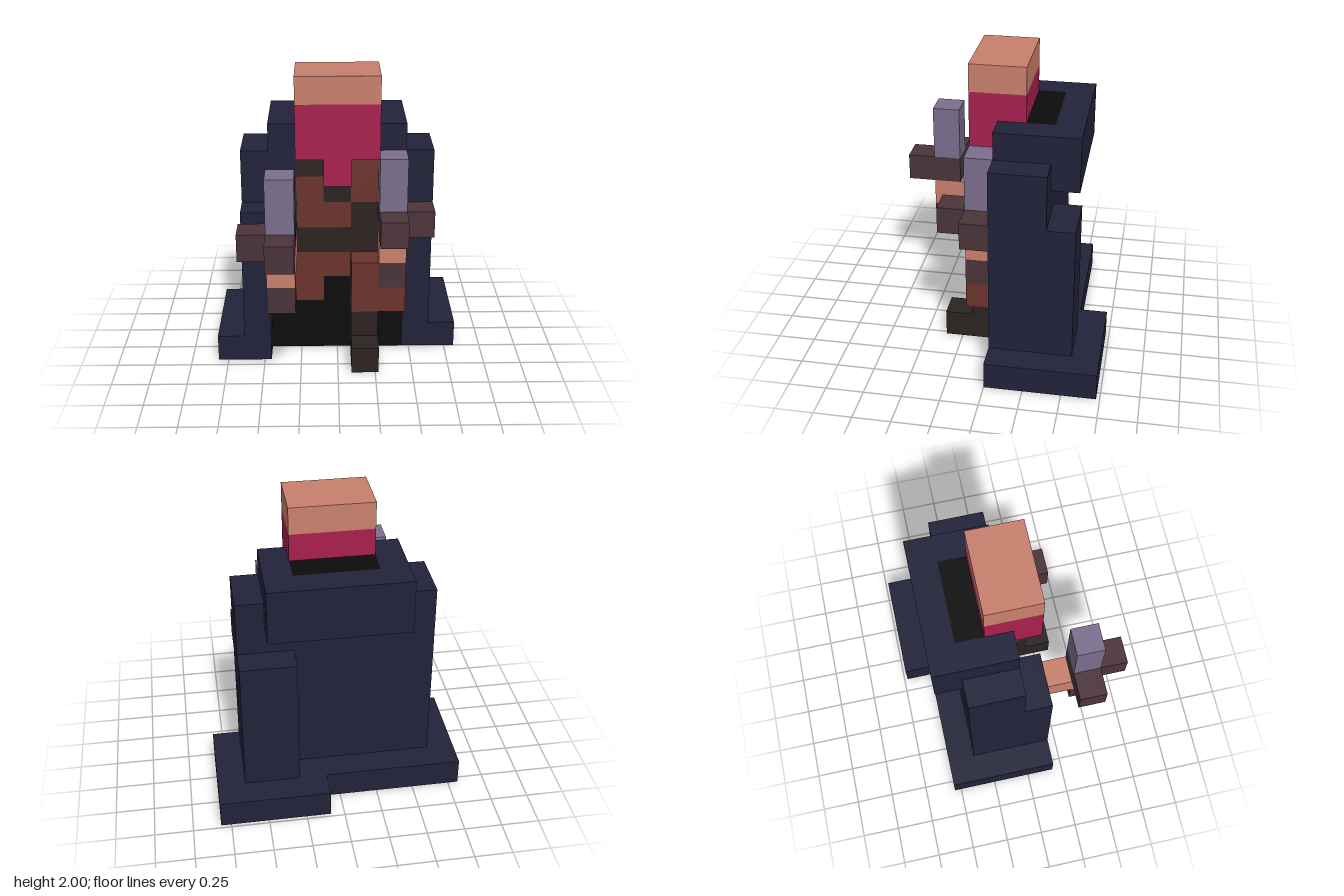
import * as THREE from 'three';

const U = 2 / 11; // size of one block

const material = (name, color) => {
  const m = new THREE.MeshStandardMaterial({ color });
  m.name = name;
  return m;
};

export function createModel() {
  const navy = material('navy cloth', 0x22223a);
  const skin = material('skin', 0xc9806c);
  const crimson = material('crimson cloth', 0xa8204f);
  const steel = material('steel', 0x7b6e8c);
  const leather = material('brown leather', 0x6b342c);
  const strap = material('dark leather', 0x2c2322);
  const grip = material('hilt brown', 0x4b343a);
  const shade = material('black lining', 0x0c0c0c);

  const model = new THREE.Group();
  model.name = 'cloakedFigure';

  const group = (name) => {
    const g = new THREE.Group();
    g.name = name;
    model.add(g);
    return g;
  };

  // Box given by its block limits along x, y and z
  const box = (parent, name, mat, [x0, x1], [y0, y1], [z0, z1]) => {
    const mesh = new THREE.Mesh(
      new THREE.BoxGeometry((x1 - x0) * U, (y1 - y0) * U, (z1 - z0) * U), mat);
    mesh.position.set((x0 + x1) / 2 * U, (y0 + y1) / 2 * U, (z0 + z1) / 2 * U);
    mesh.name = name;
    parent.add(mesh);
  };

  // Head and mask
  const head = group('head');
  box(head, 'forehead', skin, [-1.5, 1.5], [10, 11], [-1, 1]);
  box(head, 'mask', crimson, [-1.5, 1.5], [8, 10], [-1, 1]);
  box(head, 'maskTip', crimson, [-0.5, 0.5], [7, 8], [-1, 1]);

  // Chest with a diagonal strap and belt
  const torso = group('torso');
  const chest = [
    [7, strap, -1.5, -0.5], [7, leather, 0.5, 1.5],
    [6, leather, -1.5, -0.5], [6, strap, -0.5, 0.5], [6, leather, 0.5, 1.5],
    [5, leather, -1.5, 0.5], [5, strap, 0.5, 1.5],
    [4, strap, -1.5, 1.5],
    [3, leather, -2.5, 2.5],
    [2, leather, -2.5, -0.5], [2, leather, 0.5, 2.5],
  ];
  for (const [y, mat, x0, x1] of chest)
    box(torso, mat === strap ? 'strap' : 'tunic', mat, [x0, x1], [y, y + 1], [-1, 0]);

  // Leg stepping forward
  const leg = group('leftLeg');
  box(leg, 'thigh', leather, [0.5, 2.5], [2, 3], [0, 1]);
  box(leg, 'thighTop', leather, [0.5, 1.5], [3, 4], [0, 1]);
  box(leg, 'boot', strap, [0.5, 1.5], [0, 2], [0, 1]);
  box(leg, 'toe', strap, [0.5, 1.5], [0, 1], [1, 2]);

  // Arms, each holding an upright dagger
  for (const [side, s, z] of [['left', 1, 0], ['right', -1, 2]]) {
    const arm = group(side + 'Arm');
    const span = (a, b) => (s > 0 ? [a, b] : [-b, -a]);
    box(arm, 'forearm', skin, span(1.5, 2.5), [4, 5], [0, z + 1]);
    box(arm, 'pommel', grip, span(1.5, 2.5), [3, 4], [z, z + 1]);
    box(arm, 'guard', grip, span(1.5, 3.5), [5, 6], [z, z + 1]);
    box(arm, 'guardFront', grip, span(1.5, 2.5), [5, 6], [z + 1, z + 2]);
    box(arm, 'blade', steel, span(1.5, 2.5), [6, 8], [z, z + 1]);
  }

  // Cloak walls and hood
  const cloak = group('cloak');
  for (const s of [-1, 1]) {
    const span = (a, b) => (s > 0 ? [a, b] : [-b, -a]);
    box(cloak, 'cloakSide', navy, span(2.5, 3.5), [1, 8], [-2, 0]);
    box(cloak, 'shoulder', navy, span(1.5, 2.5), [4, 7], [-1, 0]);
    box(cloak, 'hoodSide', navy, span(1.5, 2.5), [7, 9], [-2, 0]);
  }
  box(cloak, 'cloakBack', navy, [-2.5, 2.5], [1, 7], [-2, -1]);
  box(cloak, 'hoodBack', navy, [-2.5, 2.5], [7, 9], [-3, -2]);
  box(cloak, 'backFold', navy, [1.5, 3.5], [1, 6], [-3, -2]);
  box(cloak, 'frontFold', navy, [-3.5, -2.5], [0, 6], [0, 1]);
  box(cloak, 'sleeve', navy, [-2.5, -1.5], [5, 6], [0, 1]);

  // Cloak hem spreading on the ground
  const hem = group('hem');
  box(hem, 'hemRight', navy, [-4.5, -3.5], [0, 1], [-3, 1]);
  box(hem, 'hemBack', navy, [-3.5, 1.5], [0, 1], [-3, -2]);
  box(hem, 'hemTrail', navy, [0.5, 4.5], [0, 1], [-4, -3]);
  box(hem, 'hemLeft', navy, [3.5, 4.5], [0, 1], [-3, 0]);
  box(hem, 'hemFrontLeft', navy, [2.5, 3.5], [0, 1], [-1, 0]);

  // Black lining inside the cloak
  const lining = group('lining');
  box(lining, 'hoodLining', shade, [-1.5, 1.5], [7, 9], [-2, -1]);
  box(lining, 'frontLining', shade, [-2.5, 2.5], [1, 2], [-1, 0]);
  box(lining, 'legGap', shade, [-0.5, 0.5], [2, 3], [-1, 0]);
  box(lining, 'baseLining', shade, [-3.5, 1.5], [0, 1], [-2, 0]);
  box(lining, 'baseLiningFront', shade, [1.5, 2.5], [0, 1], [-1, 0]);
  box(lining, 'baseLiningBack', shade, [1.5, 3.5], [0, 1], [-3, -1]);

  return model;
}
